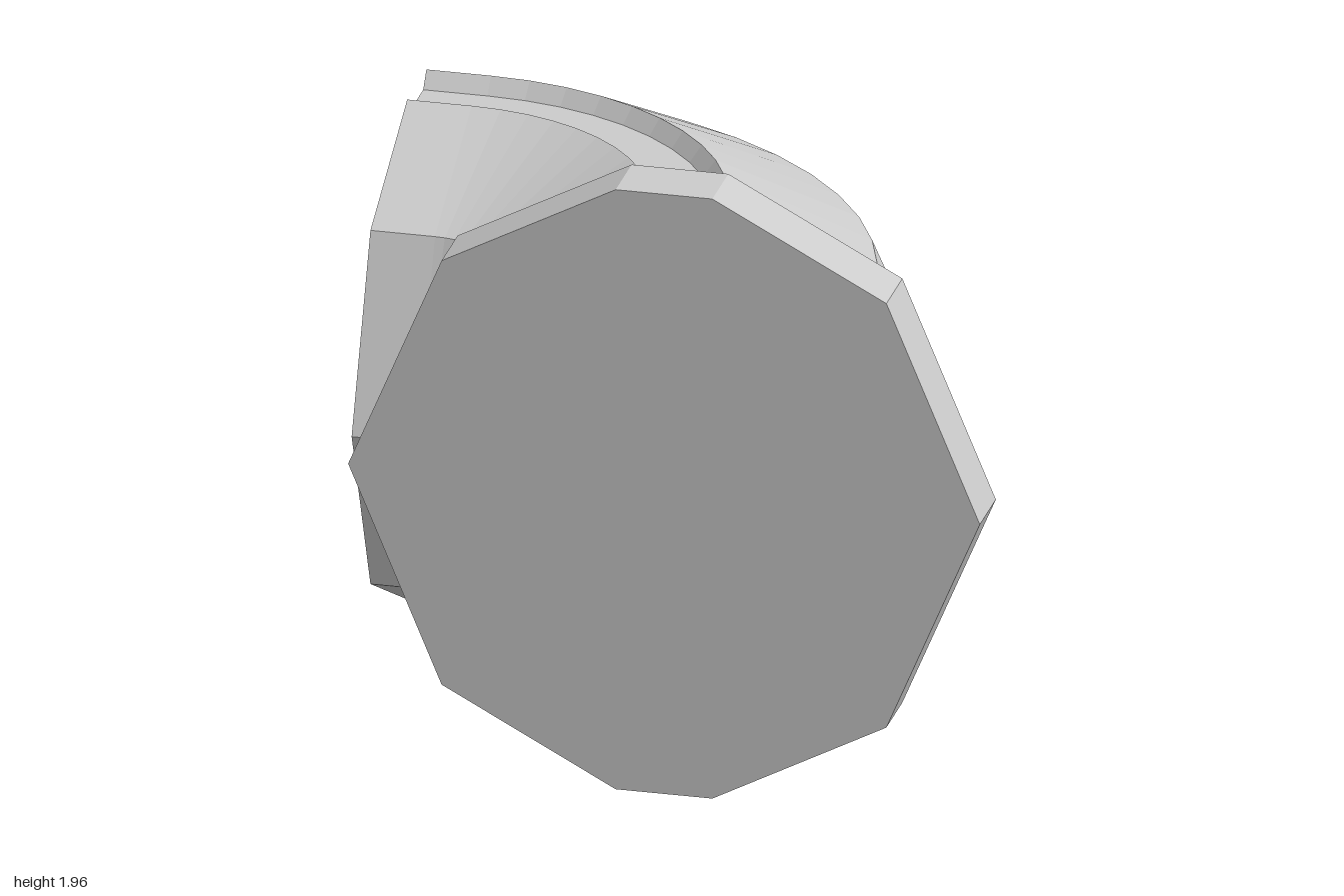
import * as THREE from 'three';

const material = new THREE.MeshStandardMaterial({ color: 0xcccccc, flatShading: true, side: THREE.DoubleSide });
const CENTER_Y = 0.98, PIVOT_X = -0.8, PIVOT_Z = 0.715;

// Ten-sided plate closing the front end
function makeFlange() {
  const quarter = [[0.98, 0], [0.69, 0.693], [0.15, 0.98]];
  const upper = [...quarter, ...[...quarter].reverse().map(([x, y]) => [-x, y])];
  const lower = upper.slice(1, -1).map(([x, y]) => [-x, -y]);
  const shape = new THREE.Shape([...upper, ...lower].map(([x, y]) => new THREE.Vector2(x, y)));
  const geometry = new THREE.ExtrudeGeometry(shape, { depth: 0.2, bevelEnabled: false });
  geometry.translate(0.02, CENTER_Y, PIVOT_Z);
  return geometry;
}

// Cross-section as (distance from pivot, height); inset 0..1 sinks the groove
function profile(inset) {
  const upper = [
    [1.63, 0], [1.39, 0.578], [0.94, 0.817],
    [0.94 - 0.04 * inset, 0.817 - 0.05 * inset],
    [0.70 + 0.035 * inset, 0.817 - 0.05 * inset],
    [0.70, 0.817], [0.24, 0.578], [0.005, 0],
  ];
  const lower = upper.slice(1, -1).reverse().map(([r, y]) => [r, -y]);
  return [...upper, ...lower];
}

// Quarter-turn elbow with a short straight tail and a flat end cap
function makeElbow() {
  const steps = 12;
  const stations = [{ angle: 0, inset: 0 }, { angle: 0.062, inset: 1 }];
  for (let i = 1; i <= steps; i++) stations.push({ angle: (i / steps) * Math.PI / 2, inset: 1 });
  stations.push({ angle: Math.PI / 2, inset: 1, tail: 0.2 });

  const positions = [], index = [];
  for (const { angle, inset, tail = 0 } of stations) {
    for (const [r, y] of profile(inset)) {
      positions.push(PIVOT_X + r * Math.cos(angle) - tail, CENTER_Y + y, PIVOT_Z - r * Math.sin(angle));
    }
  }
  const n = profile(1).length;
  for (let i = 0; i < stations.length - 1; i++) {
    for (let j = 0; j < n; j++) {
      const k = (j + 1) % n;
      const a = i * n + j, b = i * n + k, c = a + n, d = b + n;
      index.push(a, c, b, b, c, d);
    }
  }
  // End cap
  const contour = profile(1).map(([r, y]) => new THREE.Vector2(r, y));
  const last = (stations.length - 1) * n;
  for (const [a, b, c] of THREE.ShapeUtils.triangulateShape(contour, [])) {
    index.push(last + a, last + b, last + c);
  }
  const geometry = new THREE.BufferGeometry();
  geometry.setAttribute('position', new THREE.Float32BufferAttribute(positions, 3));
  geometry.setIndex(index);
  const flat = geometry.toNonIndexed();
  flat.computeVertexNormals();
  return flat;
}

export function createModel() {
  const group = new THREE.Group();
  group.name = 'pipeElbow';
  for (const [name, geometry] of [['flange', makeFlange()], ['elbow', makeElbow()]]) {
    const mesh = new THREE.Mesh(geometry, material);
    mesh.name = name;
    group.add(mesh);
  }
  return group;
}
